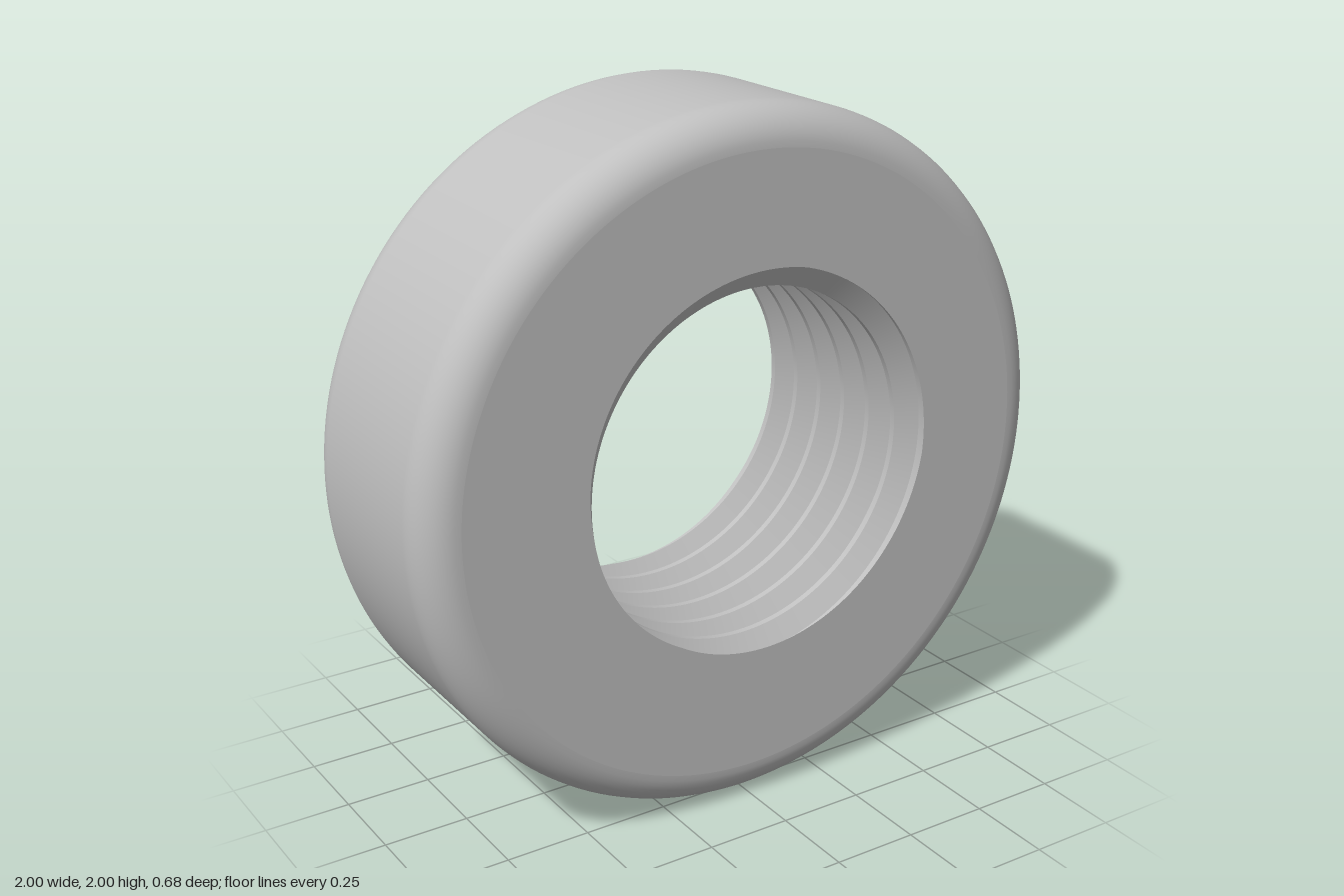
import * as THREE from 'three';
import { toCreasedNormals } from 'three/addons/utils/BufferGeometryUtils.js';

const SEG = 180;      // steps around the ring
const H = 0.34;       // half depth
const R = 1;          // outer radius
const FILLET = 0.11;
const MINOR = 0.517, MAJOR = 0.577, PITCH = 0.1175;
// thread profile in degrees of one turn: groove floor, flank, crest, flank
const FLOOR_START = -6, FLOOR_END = 75, CREST_START = 187, CREST_END = 242;

// bore radius at an angle (degrees) and depth
function boreRadius(deg, z) {
  const turn = deg - (360 * (z - H)) / PITCH - FLOOR_START;
  const p = (((turn % 360) + 360) % 360) + FLOOR_START;
  if (p <= FLOOR_END) return MAJOR;
  if (p < CREST_START) return THREE.MathUtils.mapLinear(p, FLOOR_END, CREST_START, MAJOR, MINOR);
  if (p <= CREST_END) return MINOR;
  return THREE.MathUtils.mapLinear(p, CREST_END, 360 + FLOOR_START, MINOR, MAJOR);
}

// one radial section: back face, helical thread edges cut off at both faces, front face
function section(deg) {
  const pts = [[R - FILLET, -H]];
  for (let k = -7; k <= 0; k++) {
    for (const edge of [CREST_END, CREST_START, FLOOR_END, FLOOR_START]) {
      const z = THREE.MathUtils.clamp(H + PITCH * ((deg - edge) / 360 + k), -H, H);
      pts.push([boreRadius(deg, z), z]);
    }
  }
  pts.push([R - FILLET, H]);
  const a = THREE.MathUtils.degToRad(deg);
  return pts.map(([r, z]) => new THREE.Vector3(r * Math.cos(a), r * Math.sin(a), z));
}

function threadedBoreGeometry() {
  const pos = [];
  const tri = (a, b, c) => {
    const area = b.clone().sub(a).cross(c.clone().sub(a)).length();
    if (area > 1e-9) for (const v of [a, b, c]) pos.push(v.x, v.y, v.z);
  };
  let prev = section(0);
  for (let i = 1; i <= SEG; i++) {
    const next = section((360 * i) / SEG);
    for (let j = 0; j < prev.length - 1; j++) {
      tri(prev[j], prev[j + 1], next[j]);
      tri(next[j], prev[j + 1], next[j + 1]);
    }
    prev = next;
  }
  const geo = new THREE.BufferGeometry();
  geo.setAttribute('position', new THREE.Float32BufferAttribute(pos, 3));
  return toCreasedNormals(geo, 0.5);
}

// outer wall with rounded rims
function outerWallGeometry() {
  const pts = [];
  const arc = (zc, from) => {
    for (let i = 0; i <= 10; i++) {
      const a = from + (i / 10) * (Math.PI / 2);
      pts.push(new THREE.Vector2(R - FILLET + FILLET * Math.cos(a), zc + FILLET * Math.sin(a)));
    }
  };
  arc(-H + FILLET, -Math.PI / 2);
  arc(H - FILLET, 0);
  return new THREE.LatheGeometry(pts, SEG).rotateX(Math.PI / 2);
}

export function createModel() {
  const steel = new THREE.MeshStandardMaterial({ color: 0xc0c0c0 });
  steel.name = 'steel grey';
  const group = new THREE.Group();
  group.name = 'roundNut';
  const add = (name, geo) => {
    const mesh = new THREE.Mesh(geo, steel);
    mesh.name = name;
    mesh.position.y = R;
    group.add(mesh);
  };
  add('outerWall', outerWallGeometry());
  add('facesAndThreadedBore', threadedBoreGeometry());
  return group;
}
